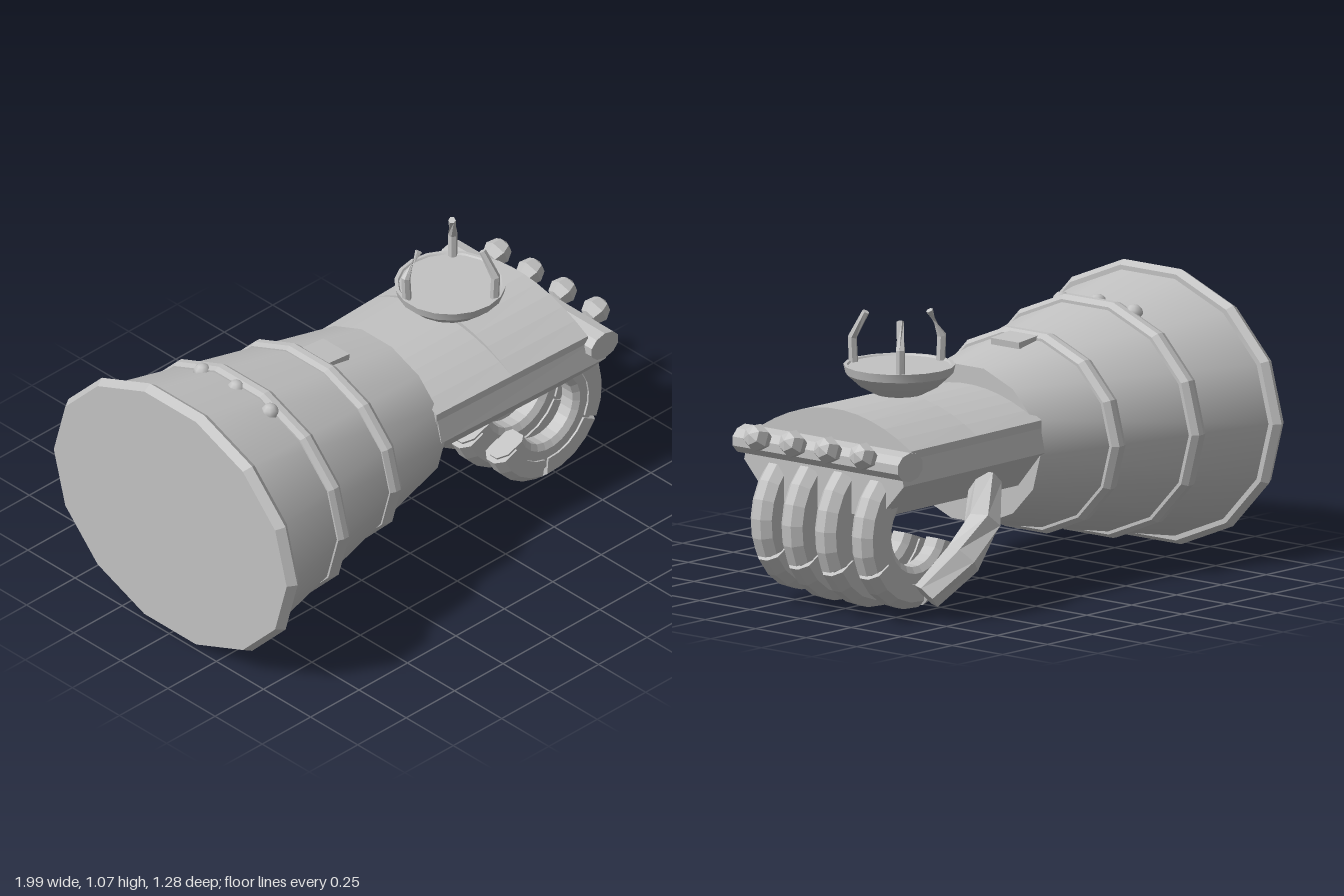
import * as THREE from 'three';
import { toCreasedNormals } from 'three/addons/utils/BufferGeometryUtils.js';

const metal = new THREE.MeshStandardMaterial({ color: 0xc2c2c2 });
metal.name = 'grey metal';

const CUFF_Y = 0.52, CUFF_WIDEN = 1.2, CUFF_SIDES = 14;

function add(parent, name, geometry, x = 0, y = 0, z = 0) {
  const mesh = new THREE.Mesh(geometry, metal);
  mesh.name = name;
  mesh.position.set(x, y, z);
  parent.add(mesh);
  return mesh;
}

// Faceted closed solid through a row of matching convex cross-sections ([x, y, z] points)
function loft(sections) {
  const n = sections[0].length, tris = [];
  for (let s = 0; s < sections.length - 1; s++) {
    for (let i = 0; i < n; i++) {
      const a = sections[s][i], b = sections[s][(i + 1) % n];
      const c = sections[s + 1][(i + 1) % n], d = sections[s + 1][i];
      tris.push([a, b, c], [a, c, d]);
    }
  }
  const first = sections[0], last = sections[sections.length - 1];
  for (let i = 1; i < n - 1; i++) {
    tris.push([first[0], first[i + 1], first[i]], [last[0], last[i], last[i + 1]]);
  }
  // Turn the solid right side out if its signed volume is negative
  let volume = 0;
  for (const [a, b, c] of tris) {
    volume += new THREE.Vector3(...a).dot(new THREE.Vector3(...b).cross(new THREE.Vector3(...c)));
  }
  if (volume < 0) tris.forEach(t => t.reverse());
  const geometry = new THREE.BufferGeometry();
  geometry.setAttribute('position', new THREE.Float32BufferAttribute(tris.flat(2), 3));
  geometry.computeVertexNormals();
  return geometry;
}

// Turns an upright round geometry into the oval cuff's frame along x
const alongCuff = g => g.rotateX(0).rotateZ(-Math.PI / 2).scale(1, 1, CUFF_WIDEN);

function ring(points) {
  const g = new THREE.LatheGeometry(points.map(([x, r]) => new THREE.Vector2(r, x)), CUFF_SIDES);
  return toCreasedNormals(alongCuff(g), 0.3);
}

// Straight extrusion of a (z, y) half profile, mirrored, widening from x0 to x1
function handSolid(half, x0, x1) {
  const outline = [...half, ...half.map(([z, y]) => [-z, y]).reverse()];
  return loft([x0, x1].map(x => {
    const w = 1 + 0.1 * (x - 0.05);
    return outline.map(([z, y]) => [x, y, z * w]);
  }));
}

// Curls an (r, z) profile around the finger centre between two angles in degrees
function curl(profile, from, to, steps) {
  const sections = [];
  for (let i = 0; i <= steps; i++) {
    const a = THREE.MathUtils.degToRad(from + (to - from) * i / steps);
    sections.push(profile.map(([r, z]) => [r * Math.cos(a), r * Math.sin(a), z]));
  }
  return loft(sections);
}

// Many-sided limb through a path, one radius per point
function limb(path, radii, sides) {
  const pts = path.map(p => new THREE.Vector3(...p));
  return loft(pts.map((p, i) => {
    const dir = pts[Math.min(i + 1, pts.length - 1)].clone().sub(pts[Math.max(i - 1, 0)]).normalize();
    const ref = Math.abs(dir.y) > 0.9 ? new THREE.Vector3(1, 0, 0) : new THREE.Vector3(0, 1, 0);
    const u = ref.cross(dir).normalize(), v = dir.clone().cross(u);
    return Array.from({ length: sides }, (_, k) => {
      const a = (k / sides) * Math.PI * 2;
      return p.clone().addScaledVector(u, radii[i] * Math.cos(a))
        .addScaledVector(v, radii[i] * Math.sin(a)).toArray();
    });
  }));
}

function buildCuff() {
  const cuff = new THREE.Group();
  cuff.name = 'cuff';
  const body = alongCuff(new THREE.CylinderGeometry(0.3, 0.5, 1.02, CUFF_SIDES));
  add(cuff, 'cuffBody', body, -0.44, CUFF_Y);
  add(cuff, 'endRim', ring([[-0.995, 0], [-0.995, 0.515], [-0.96, 0.533], [-0.935, 0.515], [-0.935, 0.48]]), 0, CUFF_Y);
  for (const [x, r] of [[-0.617, 0.456], [-0.267, 0.386]]) {
    add(cuff, 'cuffBand', ring([[-0.033, r - 0.04], [-0.033, r - 0.008], [-0.012, r],
      [0.012, r], [0.033, r - 0.016], [0.033, r - 0.05]]), x, CUFF_Y);
  }
  // Studs and a small raised block on top
  for (const z of [-0.18, 0, 0.18]) {
    add(cuff, 'cuffStud', new THREE.SphereGeometry(0.034, 8, 6), -0.655, z ? 0.925 : 0.94, z);
  }
  add(cuff, 'cuffBlock', new THREE.BoxGeometry(0.11, 0.06, 0.14), -0.195, 0.853, 0).rotation.z = -0.1;
  return cuff;
}

function buildHand() {
  const hand = new THREE.Group();
  hand.name = 'hand';
  // Palm below, two overlapping arched plates above
  add(hand, 'palm', handSolid([[0.25, 0.395], [0.365, 0.53], [0.345, 0.62]], 0.05, 0.87));
  const plate = (peak, edge) => {
    const half = [[0.345, edge]];
    for (let i = 0; i <= 5; i++) {
      const z = 0.345 * (1 - i / 5.5);
      half.push([z, 0.65 + (peak - 0.65) * (1 - (z / 0.345) ** 2)]);
    }
    return half;
  };
  add(hand, 'rearBackPlate', handSolid(plate(0.745, 0.6), 0.045, 0.43));
  add(hand, 'frontBackPlate', handSolid(plate(0.762, 0.61), 0.42, 0.8));

  // Knuckle bar with four round knuckles
  const bar = new THREE.CylinderGeometry(1, 1, 0.82, 10).rotateX(Math.PI / 2).scale(0.072, 0.055, 1);
  add(hand, 'knuckleBar', toCreasedNormals(bar, 0.3), 0.85, 0.603, 0);
  for (const z of [0.26, 0.085, -0.088, -0.263]) {
    const ball = new THREE.SphereGeometry(0.054, 6, 4).rotateZ(-Math.PI / 2 + 0.4);
    add(hand, 'knuckle', toCreasedNormals(ball, 0.3), 0.948, 0.64, z);
  }

  // Curled fingers, each an inner core with three bevelled armour segments
  const core = [[0.14, 0.028], [0.165, 0.044], [0.245, 0.044], [0.285, 0.018],
    [0.285, -0.018], [0.245, -0.044], [0.165, -0.044], [0.14, -0.028]];
  const armour = [[0.205, 0.052], [0.275, 0.052], [0.305, 0.02],
    [0.305, -0.02], [0.275, -0.052], [0.205, -0.052]];
  [[0.25, 0.94], [0.083, 1], [-0.085, 1.01], [-0.255, 0.96]].forEach(([z, size]) => {
    const finger = new THREE.Group();
    finger.name = 'finger';
    finger.position.set(0.68, 0.32, z);
    finger.scale.set(size, size, 1);
    add(finger, 'fingerCore', curl(core, 56, -160, 14));
    for (const [from, to, steps] of [[48, -27, 5], [-30, -95, 4], [-100, -158, 4]]) {
      add(finger, 'fingerArmour', curl(armour, from, to, steps));
    }
    hand.add(finger);
  });

  // Thumb on the right, bent in under the palm
  add(hand, 'thumb', limb([[0.33, 0.46, -0.32], [0.46, 0.33, -0.42], [0.58, 0.22, -0.43], [0.71, 0.09, -0.365]],
    [0.06, 0.07, 0.072, 0.058], 6));
  return hand;
}

function buildDish() {
  const dish = new THREE.Group();
  dish.name = 'dish';
  dish.position.set(0.45, 0, 0);
  // Shallow bowl with a flat top
  const profile = [[0, 0.768], [0.09, 0.768], [0.15, 0.8], [0.2, 0.845], [0.208, 0.878], [0.195, 0.878], [0.19, 0.872], [0, 0.872]];
  const bowl = new THREE.LatheGeometry(profile.map(p => new THREE.Vector2(...p)), 18);
  add(dish, 'bowl', toCreasedNormals(bowl, 0.4));
  // Three prongs bending inwards
  for (const degrees of [72, 194, -43]) {
    const a = THREE.MathUtils.degToRad(degrees);
    const at = (r, y) => [r * Math.cos(a), y, r * Math.sin(a)];
    add(dish, 'prong', limb([at(0.185, 0.865), at(0.19, 0.965), at(0.135, 1.065)], [0.018, 0.018, 0.014], 6));
  }
  return dish;
}

export function createModel() {
  const model = new THREE.Group();
  model.name = 'gauntlet';
  model.add(buildCuff(), buildHand(), buildDish());
  return model;
}
